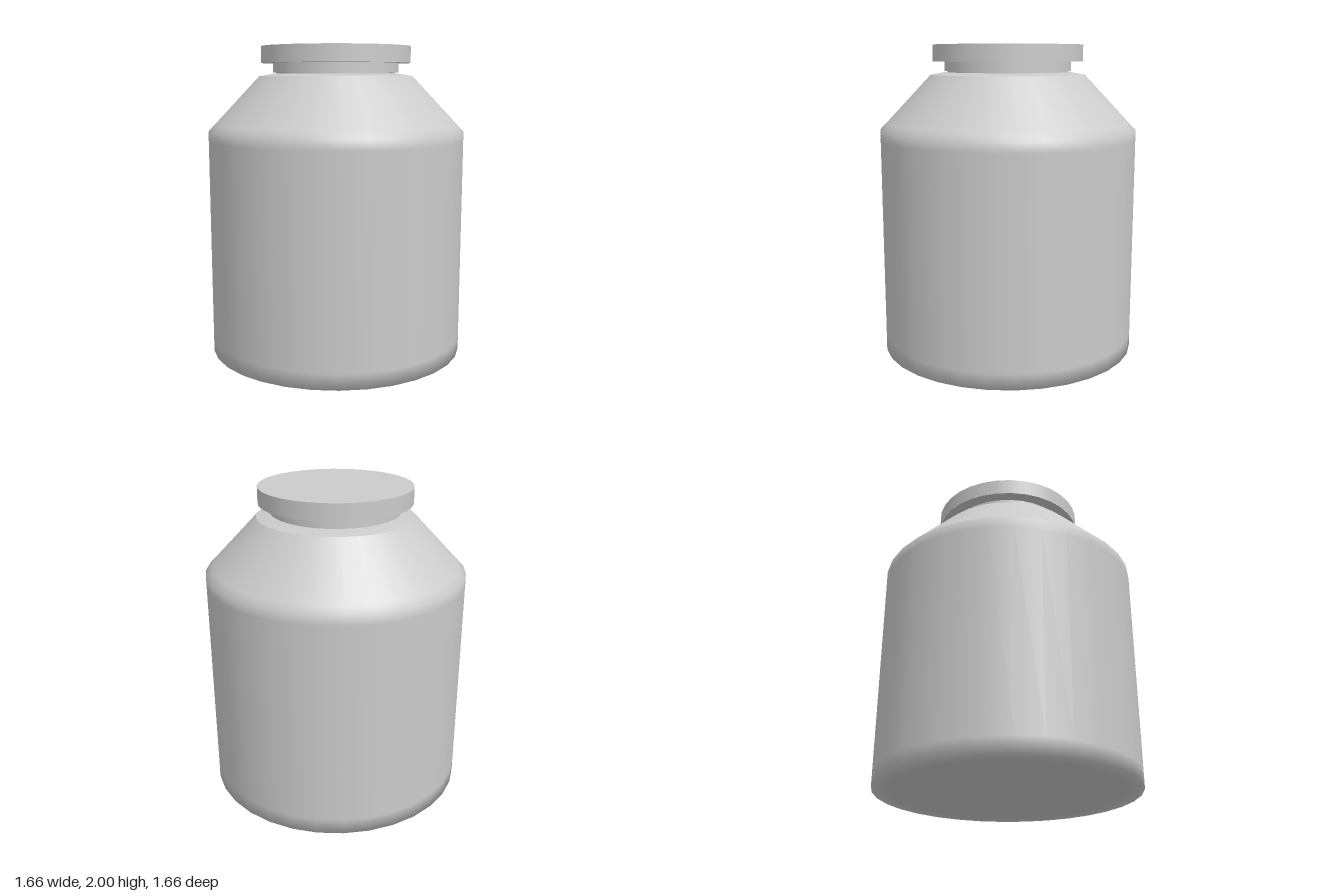
import * as THREE from 'three';

const SIDES = 32;
const material = new THREE.MeshStandardMaterial({ color: 0xcccccc });

// Revolve a profile of [radius, height] points, listed from bottom to top
function turned(name, profile) {
  const points = profile.map(([r, y]) => new THREE.Vector2(r, y));
  const mesh = new THREE.Mesh(new THREE.LatheGeometry(points, SIDES), material);
  mesh.name = name;
  return mesh;
}

// Flat-ended disc with sharp rims
function disc(name, radius, bottom, top) {
  const geometry = new THREE.CylinderGeometry(radius, radius, top - bottom, SIDES);
  geometry.translate(0, (bottom + top) / 2, 0);
  const mesh = new THREE.Mesh(geometry, material);
  mesh.name = name;
  return mesh;
}

export function createModel() {
  const jar = new THREE.Group();
  jar.name = 'jar';

  // Body: closed base, straight wall and sloping shoulder, softly shaded
  jar.add(turned('body', [
    [0, 0], [0.74, 0], [0.832, 0], [0.832, 0.1], [0.832, 1.4],
    [0.832, 1.46], [0.79, 1.503], [0.5, 1.81],
  ]));

  // Shallow rim between the shoulder and the neck
  jar.add(turned('shoulderRim', [[0.5, 1.81], [0.41, 1.826], [0.38, 1.826]]));

  // Neck with a narrow groove below its collar
  jar.add(disc('neck', 0.39, 1.81, 1.85));
  jar.add(disc('collar', 0.41, 1.834, 1.9));

  // Wide flat lid
  jar.add(disc('lid', 0.486, 1.894, 2));

  return jar;
}
